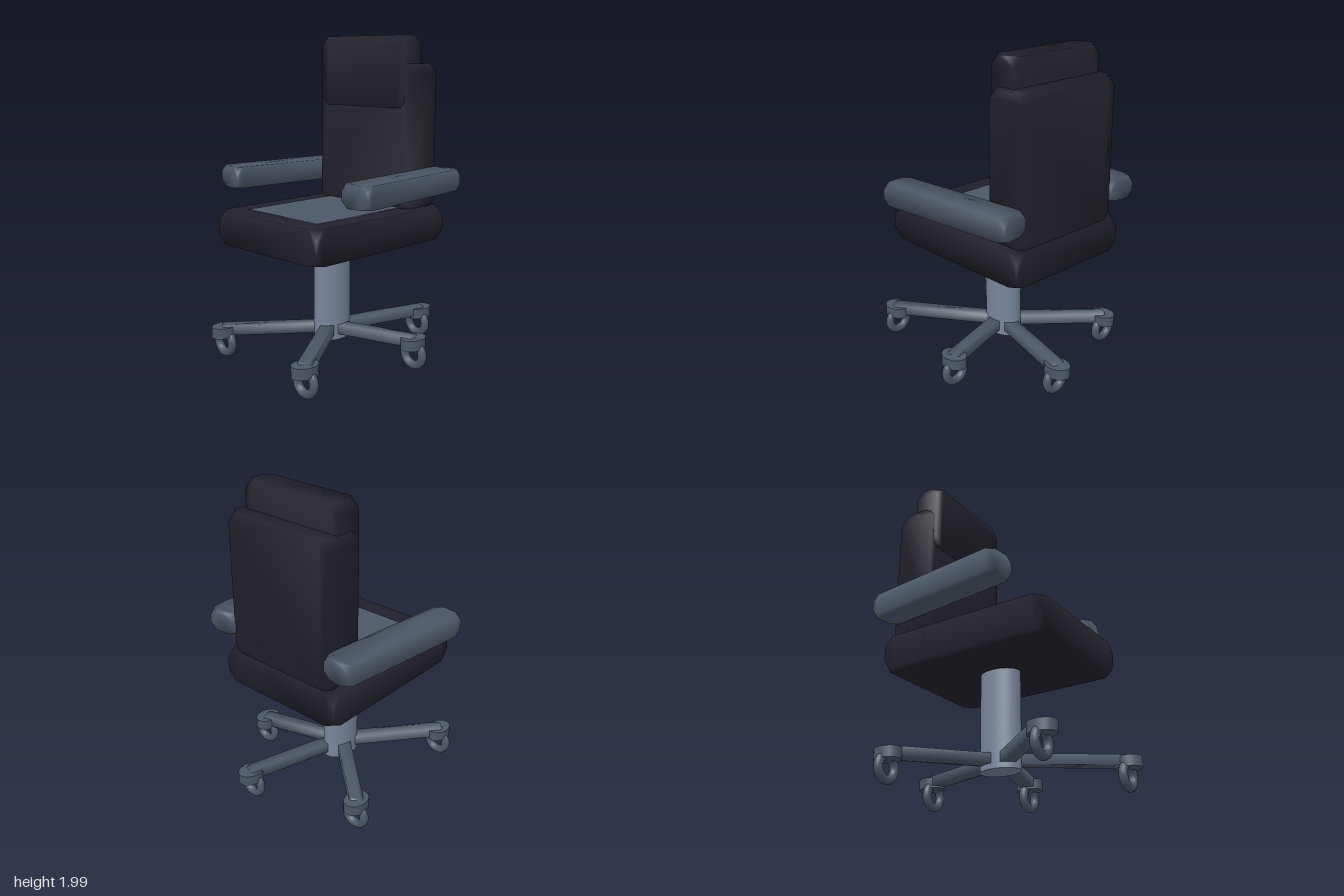
import * as THREE from 'three';
import { mergeVertices } from 'three/addons/utils/BufferGeometryUtils.js';
import { ConvexGeometry } from 'three/addons/geometries/ConvexGeometry.js';

const material = (name, color) => {
  const m = new THREE.MeshStandardMaterial({ color });
  m.name = name;
  return m;
};

// Box with its eight corners clipped off and softly shaded
function clippedBox(w, h, d, cut, cutY = cut) {
  const points = [];
  for (const x of [-1, 1]) for (const y of [-1, 1]) for (const z of [-1, 1]) {
    const [X, Y, Z] = [x * w / 2, y * h / 2, z * d / 2];
    points.push(
      new THREE.Vector3(X - x * cut, Y, Z),
      new THREE.Vector3(X, Y - y * cutY, Z),
      new THREE.Vector3(X, Y, Z - z * cut));
  }
  let g = new ConvexGeometry(points);
  g.deleteAttribute('normal');
  g = mergeVertices(g, 1e-4);
  g.computeVertexNormals();
  return g;
}

export function createModel() {
  const leather = material('dark leather', 0x22212c);
  const slate = material('slate plastic', 0x4c5866);
  const steel = material('light steel', 0x78859b);
  const chair = new THREE.Group();
  chair.name = 'officeChair';

  const add = (name, geometry, mat, x, y, z, parent = chair) => {
    const mesh = new THREE.Mesh(geometry, mat);
    mesh.name = name;
    mesh.position.set(x, y, z);
    parent.add(mesh);
    return mesh;
  };

  // Upholstery
  add('seat', clippedBox(0.866, 0.208, 1.1, 0.06), leather, -0.008, 0.845, 0.01);
  add('seatPad', clippedBox(0.607, 0.009, 0.72, 0.025, 0.003), slate, -0.008, 0.95, 0.07);
  add('backrest', clippedBox(0.745, 0.91, 0.257, 0.06), leather, -0.008, 1.378, -0.392);
  add('headrest', clippedBox(0.69, 0.436, 0.17, 0.055), leather, -0.015, 1.783, -0.328);

  // Armrests, splayed outward toward the front
  for (const side of [-1, 1]) {
    const arm = add(side > 0 ? 'leftArmrest' : 'rightArmrest',
      clippedBox(0.184, 0.134, 0.94, 0.042), slate, -0.008 + side * 0.502, 1.125, -0.083);
    arm.rotation.y = side * 0.1;
  }

  // Oval centre column
  const column = add('column', new THREE.CylinderGeometry(1, 1, 0.605, 40), steel, -0.008, 0.4275, 0.014);
  column.scale.set(0.092, 1, 0.131);

  // Five legs, each ending in a cap and a ring caster
  const hub = new THREE.Vector2(-0.01, 0.03);
  const casters = [[0.173, -0.63], [0.54, -0.13], [0.4, 0.625], [-0.43, 0.545], [-0.505, -0.41]];
  const ring = new THREE.TorusGeometry(0.067, 0.027, 12, 32);
  const cap = new THREE.CylinderGeometry(1, 1, 0.066, 28);
  casters.forEach(([x, z], i) => {
    const unit = new THREE.Group();
    unit.name = 'legAssembly' + (i + 1);
    chair.add(unit);
    const dx = x - hub.x, dz = z - hub.y;
    const leg = add('leg', clippedBox(0.085, 0.062, Math.hypot(dx, dz) + 0.03, 0.02),
      slate, hub.x + dx / 2, 0.19, hub.y + dz / 2, unit);
    leg.rotation.y = Math.atan2(dx, dz);
    add('casterCap', cap, slate, x, 0.179, z, unit).scale.set(0.067, 1, 0.087);
    add('casterRing', ring, slate, x, 0.104, z + (z < -0.5 ? 0.015 : -0.005), unit);
  });

  // Rest the casters on the ground
  const box = new THREE.Box3().setFromObject(chair);
  chair.position.y = -Math.min(box.min.y, 0);
  return chair;
}
